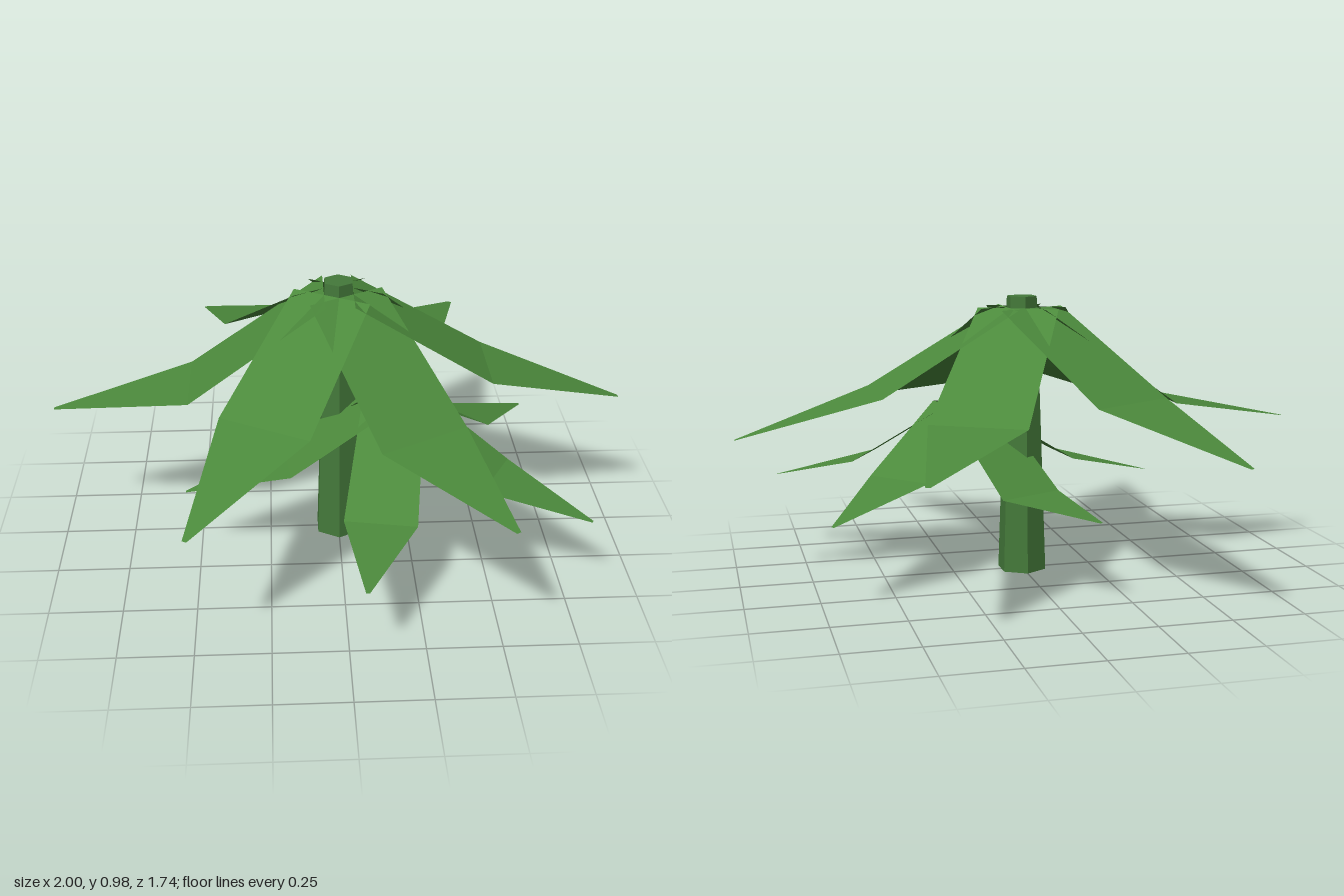
import * as THREE from 'three';

const leafMaterial = new THREE.MeshStandardMaterial({
  color: 0x4c8a3c, flatShading: true, side: THREE.DoubleSide,
});
const trunkMaterial = new THREE.MeshStandardMaterial({ color: 0x44793a, flatShading: true });

// Flat-section leaf along +x; each row is [distance out, height, half width]
function leafGeometry(rows) {
  const geometry = new THREE.PlaneGeometry(1, 1, 1, rows.length - 1);
  const position = geometry.attributes.position;
  rows.forEach(([out, height, half], i) => {
    position.setXYZ(i * 2, out, height, -half);
    position.setXYZ(i * 2 + 1, out, height, half);
  });
  // Reverse winding so the leaf tops are the front faces
  const index = geometry.index.array;
  for (let i = 0; i < index.length; i += 3) {
    [index[i], index[i + 1]] = [index[i + 1], index[i]];
  }
  geometry.computeVertexNormals();
  return geometry;
}

// Ring of leaves; every second leaf droops more at its bend
function createWhorl(name, { count, start, scale, top, bends, tip }) {
  const whorl = new THREE.Group();
  whorl.name = name;
  for (let i = 0; i < count; i++) {
    const leaf = new THREE.Mesh(leafGeometry([
      [0.05 * scale, top, 0.145 * scale],
      [0.52 * scale, bends[i % 2], 0.168 * scale],
      [scale, tip, 0.008 * scale],
    ]), leafMaterial);
    leaf.name = 'leaf';
    leaf.rotation.y = -(start + (i * Math.PI * 2) / count);
    whorl.add(leaf);
  }
  return whorl;
}

export function createModel() {
  const plant = new THREE.Group();
  plant.name = 'leafyPlant';

  // Tapered six-sided trunk
  const trunk = new THREE.Mesh(new THREE.CylinderGeometry(0.054, 0.088, 0.98, 6), trunkMaterial);
  trunk.name = 'trunk';
  trunk.position.y = 0.49;
  plant.add(trunk);

  // Crown of six large leaves
  plant.add(createWhorl('upperLeaves', {
    count: 6, start: 0, scale: 1, top: 0.94, bends: [0.66, 0.605], tip: 0.515,
  }));

  // Smaller ring of five leaves, set off to one side
  const lower = createWhorl('lowerLeaves', {
    count: 5, start: THREE.MathUtils.degToRad(28.7), scale: 0.732,
    top: 0.593, bends: [0.38, 0.318], tip: 0.29,
  });
  lower.position.set(0.187, 0, 0.12);
  plant.add(lower);

  return plant;
}
